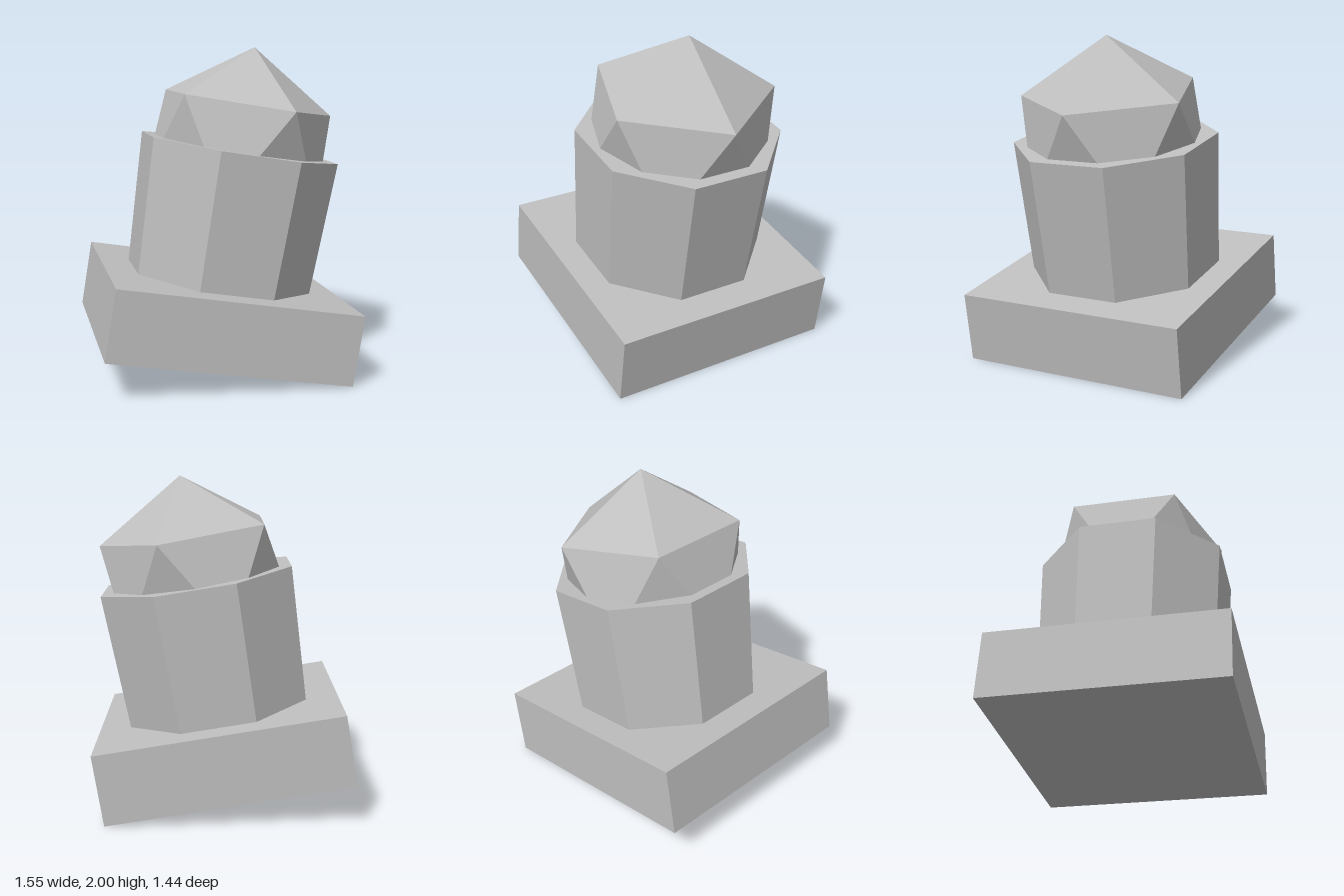
import * as THREE from 'three';

const grey = new THREE.MeshStandardMaterial({ color: 0xbfbfbf, flatShading: true });
grey.name = 'plain grey';

function part(name, geometry, y) {
  const mesh = new THREE.Mesh(geometry, grey);
  mesh.name = name;
  mesh.position.y = y;
  return mesh;
}

export function createModel() {
  const model = new THREE.Group();
  model.name = 'leaningPost';

  // Everything leans as one piece toward +x, pivoting on the plinth's centre
  const leaning = new THREE.Group();
  leaning.name = 'leaningBody';
  leaning.position.y = 0.333;
  leaning.rotation.z = -0.161;
  model.add(leaning);

  // Square plinth
  leaning.add(part('plinth', new THREE.BoxGeometry(1.494, 0.432, 1.443), 0));

  // Eight-sided drum, slightly wider at the top, with flats facing the sides
  const drum = new THREE.CylinderGeometry(0.634, 0.595, 0.838, 8);
  drum.rotateY(Math.PI / 8);
  leaning.add(part('drum', drum, 0.216 + 0.419));

  // Faceted ball standing on a corner, half sunk into the drum
  const ball = new THREE.IcosahedronGeometry(0.633, 0);
  ball.rotateZ(-Math.atan(2 / (1 + Math.sqrt(5))));
  leaning.add(part('facetedDome', ball, 1.055));

  return model;
}
